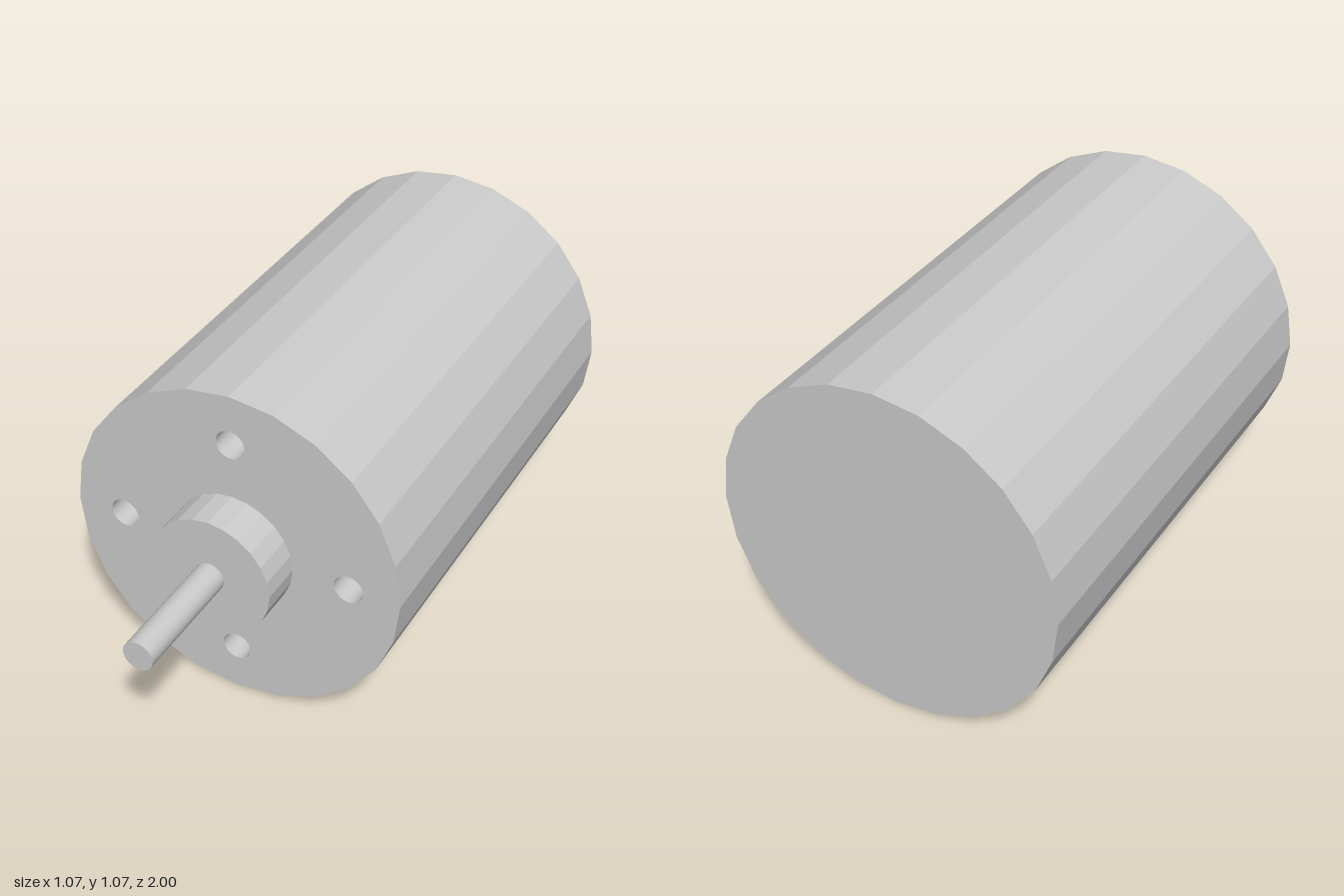
import * as THREE from 'three';

const CENTER_Y = 0.535;
const BODY_R = 0.535, BACK = -1, FACE = 0.49;
const BOSS_R = 0.194, BOSS_END = 0.625;
const SHAFT_R = 0.047, SHAFT_END = 1;
const HOLE_R = 0.046, HOLE_RING = 0.373, HOLE_DEPTH = 0.19;

const faceted = new THREE.MeshStandardMaterial({ color: 0xcccccc, flatShading: true });
const smooth = new THREE.MeshStandardMaterial({ color: 0xcccccc });
const inside = new THREE.MeshStandardMaterial({ color: 0xcccccc, side: THREE.DoubleSide });

// Cylinder lying along z between two depths
function rod(radius, z0, z1, sides, open = false) {
  const geometry = new THREE.CylinderGeometry(radius, radius, z1 - z0, sides, 1, open);
  return geometry.rotateX(Math.PI / 2).translate(0, 0, (z0 + z1) / 2);
}

function ring(radius, sides, cx = 0, cy = 0) {
  return Array.from({ length: sides }, (_, i) => {
    const a = (i / sides) * Math.PI * 2;
    return new THREE.Vector2(cx + radius * Math.cos(a), cy + radius * Math.sin(a));
  });
}

export function createModel() {
  const model = new THREE.Group();
  model.name = 'electricMotor';

  function add(name, geometry, material, x = 0, y = 0) {
    const mesh = new THREE.Mesh(geometry, material);
    mesh.name = name;
    mesh.position.set(x, CENTER_Y + y, 0);
    model.add(mesh);
  }

  // Faceted housing with a closed back
  add('housingWall', rod(BODY_R, BACK, FACE, 24, true), faceted);
  add('backPlate', new THREE.CircleGeometry(BODY_R, 24).rotateY(Math.PI).translate(0, 0, BACK), faceted);

  // Front plate pierced by four blind mounting holes
  const plate = new THREE.Shape(ring(BODY_R, 24));
  for (let i = 0; i < 4; i++) {
    const a = (i * Math.PI) / 2;
    const x = HOLE_RING * Math.cos(a), y = HOLE_RING * Math.sin(a);
    plate.holes.push(new THREE.Path(ring(HOLE_R, 32, x, y)));
    add('mountingHoleWall', rod(HOLE_R, FACE - HOLE_DEPTH, FACE, 32, true), inside, x, y);
    add('mountingHoleFloor', new THREE.CircleGeometry(HOLE_R, 32).translate(0, 0, FACE - HOLE_DEPTH), smooth, x, y);
  }
  add('frontPlate', new THREE.ShapeGeometry(plate).translate(0, 0, FACE), faceted);

  // Bearing boss and output shaft
  add('bearingBoss', rod(BOSS_R, FACE, BOSS_END, 24), faceted);
  add('outputShaft', rod(SHAFT_R, BOSS_END, SHAFT_END, 32), smooth);

  return model;
}
